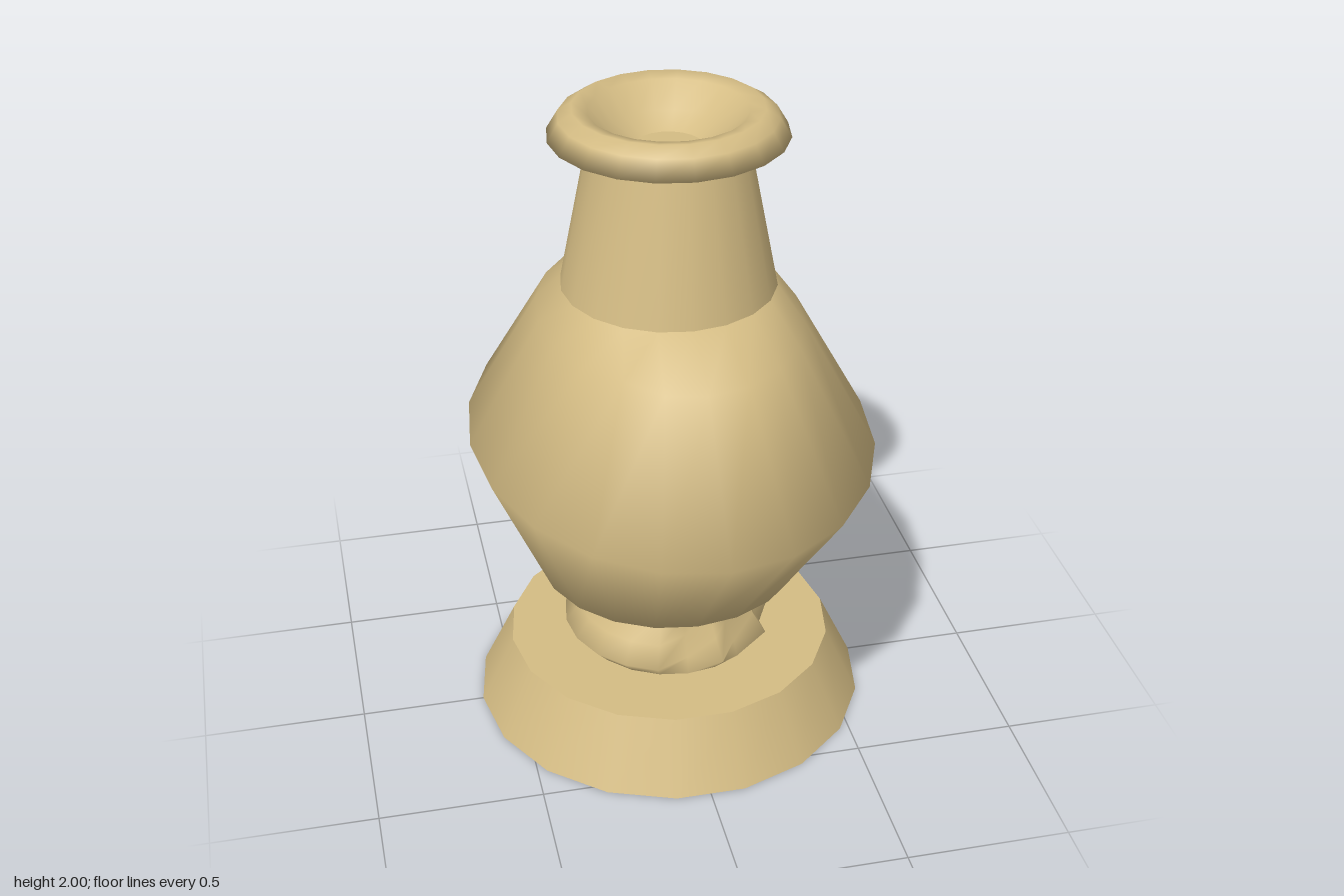
import * as THREE from 'three';

const SIDES = 20;
const clay = new THREE.MeshStandardMaterial({ color: 0xd4bc84, roughness: 0.8, side: THREE.DoubleSide });

// Skins a stack of elliptical rings [y, radiusX, radiusZ]; reshape(ring, column) scales single corners
function loft(name, rings, reshape = () => 1) {
  const positions = [], index = [];
  rings.forEach(([y, rx, rz], r) => {
    for (let c = 0; c < SIDES; c++) {
      const a = (c / SIDES) * Math.PI * 2, k = reshape(r, c);
      positions.push(Math.sin(a) * rx * k, y, Math.cos(a) * rz * k);
    }
  });
  for (let r = 0; r < rings.length - 1; r++) {
    for (let c = 0; c < SIDES; c++) {
      const n = (c + 1) % SIDES;
      const a = r * SIDES + c, b = r * SIDES + n;
      index.push(a, b, b + SIDES, a, b + SIDES, a + SIDES);
    }
  }
  const geometry = new THREE.BufferGeometry();
  geometry.setAttribute('position', new THREE.Float32BufferAttribute(positions, 3));
  geometry.setIndex(index);
  geometry.computeVertexNormals();
  const mesh = new THREE.Mesh(geometry, clay);
  mesh.name = name;
  return mesh;
}

export function createModel() {
  const group = new THREE.Group();
  group.name = 'vase';

  // Tapered plinth with a flat top
  const plinth = new THREE.Mesh(new THREE.CylinderGeometry(0.51, 0.615, 0.22, 18), clay);
  plinth.name = 'plinth';
  plinth.rotation.y = Math.PI / 2;
  plinth.position.y = 0.11;
  group.add(plinth);

  // Foot, chipped on the front: every other corner of the bulge is pushed in
  const chipped = (r, c) => ((r === 1 || r === 2) && c < 5 && c % 2 === 0 ? 0.82 : 1);
  group.add(loft('foot', [
    [0.22, 0.29, 0.29], [0.27, 0.335, 0.335], [0.33, 0.29, 0.29], [0.41, 0.245, 0.245],
  ], chipped));

  // Oval belly, deeper than wide, with a shallow crease on two opposite corners
  const creased = (r, c) => (r === 3 && (c === 8 || c === 18) ? 0.94 : 1);
  group.add(loft('belly', [
    [0.4, 0.24, 0.24], [0.49, 0.41, 0.41], [0.965, 0.61, 0.81], [1.36, 0.39, 0.525], [1.455, 0.32, 0.325],
  ], creased));

  // Straight tapering neck
  group.add(loft('neck', [[1.455, 0.32, 0.325], [1.885, 0.235, 0.235]]));

  // Flared lip and the funnel inside it
  group.add(loft('lip', [
    [1.88, 0.235, 0.235], [1.92, 0.348, 0.348], [1.975, 0.315, 0.315], [2.0, 0.275, 0.275],
    [1.99, 0.23, 0.23], [1.92, 0.17, 0.17], [1.88, 0.1, 0.1],
  ]));

  // Floor of the mouth
  const floor = new THREE.Mesh(new THREE.CircleGeometry(0.1, SIDES), clay);
  floor.name = 'mouthFloor';
  floor.rotation.x = -Math.PI / 2;
  floor.position.y = 1.88;
  group.add(floor);

  return group;
}
